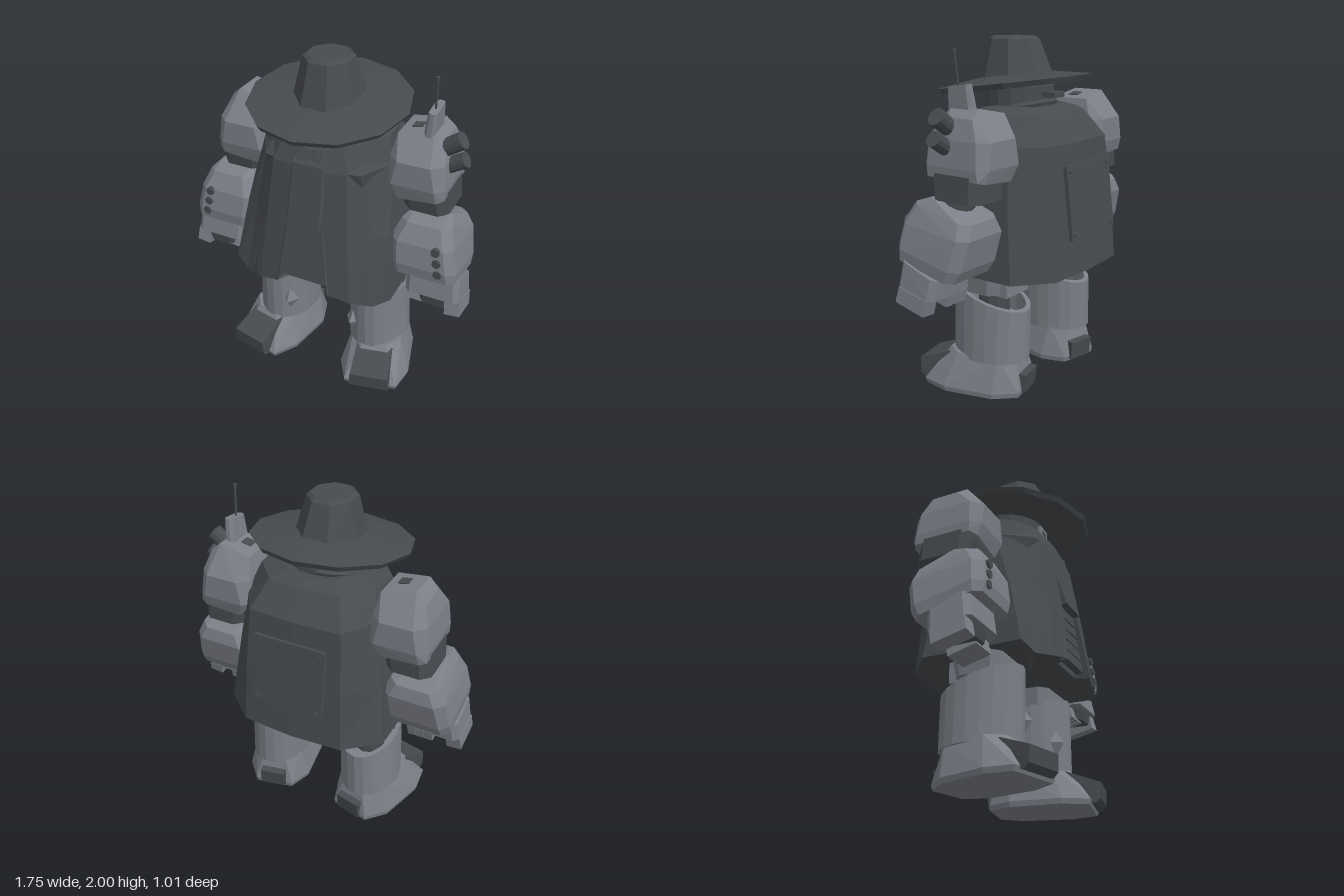
import * as THREE from 'three';
import { ConvexGeometry } from 'three/addons/geometries/ConvexGeometry.js';

const mat = (name, color) => {
  const m = new THREE.MeshStandardMaterial({ color, flatShading: true });
  m.name = name;
  return m;
};
const V = (x, y, z) => new THREE.Vector3(x, y, z);

// Octagonal ring of points: centre, size, corner cut and a slope along z
function oct(cx, y, cz, w, d, c = 0.05, slope = 0) {
  const a = w / 2, b = d / 2;
  return [[a, b - c], [a - c, b], [c - a, b], [-a, b - c], [-a, c - b], [c - a, -b], [a - c, -b], [a, c - b]]
    .map(([x, z]) => V(cx + x, y + slope * z, cz + z));
}

// Skin over rings of [x, y, z], counter-clockwise from above, capped at both ends
function loft(rings) {
  const pos = [], n = rings[0].length;
  const tri = (...p) => p.forEach((q) => pos.push(...q));
  const mid = (r) => [0, 1, 2].map((k) => r.reduce((t, p) => t + p[k], 0) / n);
  const first = rings[0], last = rings[rings.length - 1];
  for (let i = 0; i < n; i++) {
    const j = (i + 1) % n;
    for (let k = 0; k + 1 < rings.length; k++) {
      const a = rings[k], b = rings[k + 1];
      tri(a[i], a[j], b[j]);
      tri(a[i], b[j], b[i]);
    }
    tri(mid(first), first[j], first[i]);
    tri(mid(last), last[i], last[j]);
  }
  const g = new THREE.BufferGeometry();
  g.setAttribute('position', new THREE.Float32BufferAttribute(pos, 3));
  g.computeVertexNormals();
  return g;
}

// Round ring, starting at the front
const round = (n, rx, rz, cx, cz, yOf) => Array.from({ length: n }, (_, i) => {
  const t = (i / n) * Math.PI * 2, z = cz + rz * Math.cos(t);
  return [cx + rx * Math.sin(t), yOf(z), z];
});

// Full ring from a half outline of [x, z, y?], first and last on the centre line
function mirrorRing(y, half) {
  const right = half.map(([x, z, yy = y]) => [x, yy, z]);
  return [...right, ...right.slice(1, -1).reverse().map(([x, yy, z]) => [-x, yy, z])];
}

export function createModel() {
  const root = new THREE.Group();
  root.name = 'armouredFigure';
  const coat = mat('charcoal', 0x474b4f), armour = mat('steel grey', 0x7b7f87);

  const add = (name, geo, m, parent = root) => {
    const mesh = new THREE.Mesh(geo, m);
    mesh.name = name;
    parent.add(mesh);
    return mesh;
  };
  const hull = (name, pts, m, s = 1, parent = root) =>
    add(name, new ConvexGeometry(pts.map((p) => V(p.x * s, p.y, p.z))), m, parent);
  const box = (name, w, h, d, x, y, z, m, parent = root) => {
    const b = add(name, new THREE.BoxGeometry(w, h, d), m, parent);
    b.position.set(x, y, z);
    return b;
  };
  const rod = (name, a, b, r, m, sides = 10) => {
    const dir = b.clone().sub(a);
    const c = add(name, new THREE.CylinderGeometry(r, r, dir.length(), sides), m);
    c.position.copy(a).add(b).multiplyScalar(0.5);
    c.quaternion.setFromUnitVectors(V(0, 1, 0), dir.normalize());
    return c;
  };

  // Hat: tilted brim and eight-sided crown
  const tilt = (y) => (z) => y - 0.125 * (z - 0.05);
  add('hatBrim', loft([
    round(12, 0.2, 0.2, 0, 0.05, tilt(1.715)), round(12, 0.44, 0.43, 0, 0.055, tilt(1.715)),
    round(12, 0.46, 0.445, 0, 0.055, tilt(1.745)), round(12, 0.18, 0.2, 0, 0.05, tilt(1.785)),
  ]), coat);
  const crownRing = (rx, rz, cz, yOf) => {
    const k = Math.tan(Math.PI / 8);
    return [[k, 1], [1, k], [1, -k], [k, -1], [-k, -1], [-1, -k], [-1, k], [-k, 1]]
      .map(([x, z]) => [x * rx, yOf(cz + z * rz), cz + z * rz]);
  };
  add('hatCrown', loft([
    crownRing(0.18, 0.205, 0.05, tilt(1.775)), crownRing(0.13, 0.138, 0.058, () => 1.985),
    crownRing(0.11, 0.115, 0.058, () => 2),
  ]), coat);

  // Head, collar and visor
  add('head', loft([round(16, 0.2, 0.2, 0, 0.02, () => 1.5), round(16, 0.2, 0.2, 0, 0.02, () => 1.73)]), coat);
  const collar = add('collar', new THREE.TorusGeometry(0.2, 0.02, 6, 20), coat);
  collar.rotation.x = Math.PI / 2 + 0.2;
  collar.position.set(0, 1.6, 0.02);
  box('visor', 0.1, 0.06, 0.04, 0, 1.635, 0.21, armour);
  box('visorSlit', 0.055, 0.018, 0.006, 0, 1.632, 0.23, coat);
  box('headBackTab', 0.1, 0.03, 0.08, 0, 1.685, -0.215, coat);

  // Long coat with a front opening and a low neckline
  add('coat', loft([
    mirrorRing(0.71, [[0, 0.34], [0.15, 0.34], [0.16, 0.425, 0.7], [0.29, 0.405, 0.67], [0.41, 0.35, 0.65], [0.5, 0.31, 0.7], [0.5, -0.29], [0.31, -0.455], [0, -0.475]]),
    mirrorRing(1.07, [[0, 0.32], [0.1, 0.32], [0.11, 0.375], [0.25, 0.36], [0.36, 0.28], [0.45, 0.22], [0.455, -0.24], [0.295, -0.43], [0, -0.44]]),
    mirrorRing(1.44, [[0, 0.32], [0.04, 0.325], [0.06, 0.33], [0.22, 0.305], [0.32, 0.2], [0.395, 0.1], [0.4, -0.2], [0.275, -0.39], [0, -0.405]]),
    mirrorRing(1.59, [[0, 0.285, 1.54], [0.04, 0.285, 1.54], [0.07, 0.28, 1.545], [0.18, 0.25, 1.57], [0.28, 0.16], [0.36, 0.06], [0.345, -0.13], [0.21, -0.28], [0, -0.295]]),
    mirrorRing(1.625, [[0, 0.23, 1.555], [0.04, 0.23, 1.555], [0.07, 0.22, 1.56], [0.14, 0.18, 1.585], [0.18, 0.13, 1.61], [0.21, 0.04], [0.2, -0.1], [0.14, -0.2], [0, -0.23]]),
  ]), coat);
  hull('chestPanel', [-1, 1].flatMap((s) => [
    V(s * 0.12, 1.52, 0.275), V(s * 0.09, 1.46, 0.325), V(s * 0.1, 1.07, 0.405), V(s * 0.1, 1.07, 0.33), V(s * 0.05, 1.5, 0.2),
  ]), coat);
  for (let i = 0; i < 5; i++) {
    const rib = box('bellyRib' + i, 0.21 + i * 0.018, 0.066, 0.04, 0, 1.035 - i * 0.068, 0.345 + i * 0.006, coat);
    rib.rotation.x = -0.15;
  }

  // Back hatch with corner bolts
  const hatch = new THREE.Group();
  hatch.name = 'backHatch';
  hatch.position.set(0, 1.13, -0.465);
  hatch.rotation.x = 0.115;
  root.add(hatch);
  box('hatchPlate', 0.43, 0.41, 0.022, 0, 0, 0, coat, hatch);
  for (const x of [-0.185, 0.185]) for (const y of [-0.175, 0.175]) {
    const bolt = add('hatchBolt', new THREE.CylinderGeometry(0.013, 0.013, 0.016, 8), coat, hatch);
    bolt.rotation.x = Math.PI / 2;
    bolt.position.set(x, y, -0.013);
  }

  for (const s of [1, -1]) {
    const side = s > 0 ? 'left' : 'right';
    // Coat front edge, pleat and yoke corner
    for (const [x0, x1, w, z0, z1] of [[0.16, 0.07, 0.04, 0.415, 0.325], [0.31, 0.23, 0.035, 0.39, 0.285]]) {
      hull(side + 'CoatPleat', [
        V(x0, 0.7, z0 + 0.015), V(x0 + w, 0.68, z0 - 0.01), V(x0, 0.7, z0 - 0.06),
        V(x1 + 0.02, 1.36, z1 - 0.005), V(x1 + 0.03, 1.36, z1 - 0.03), V((x0 + x1) / 2, 1.04, (z0 + z1) / 2 + 0.015),
      ], coat, s);
    }
    hull(side + 'YokeCorner', [V(0.21, 1.45, 0.305), V(0.38, 1.45, 0.12), V(0.29, 1.44, 0.275), V(0.29, 1.35, 0.25), V(0.26, 1.53, 0.18)], coat, s);

    // Arm: shoulder shell, upper arm, elbow, forearm shell
    hull(side + 'Shoulder', [
      V(0.4, 1.62, 0.05), V(0.4, 1.62, -0.18), V(0.59, 1.66, 0.02), V(0.59, 1.66, -0.17), V(0.65, 1.61, -0.01), V(0.65, 1.61, -0.17),
      ...oct(0.53, 1.5, -0.065, 0.31, 0.43, 0.06), ...oct(0.53, 1.36, -0.065, 0.345, 0.43, 0.05),
      V(0.44, 1.26, 0.12), V(0.44, 1.27, -0.25), V(0.7, 1.3, 0.1), V(0.7, 1.3, -0.24), V(0.66, 1.285, 0.13), V(0.66, 1.29, -0.26),
    ], armour, s);
    box(side + 'ShoulderSlot', 0.06, 0.006, 0.06, s * 0.48, 1.64, -0.05, coat).rotation.z = s * 0.21;
    hull(side + 'UpperArm', [...oct(0.565, 1.33, -0.065, 0.27, 0.34, 0.05), ...oct(0.585, 1.18, -0.075, 0.26, 0.32, 0.05)], coat, s);
    rod(side + 'Elbow', V(s * 0.59, 1.25, -0.05), V(s * 0.61, 1.1, -0.02), 0.09, coat, 12);
    hull(side + 'Forearm', [
      V(0.52, 1.185, 0.03), V(0.73, 1.185, 0.03),
      ...oct(0.62, 1.12, -0.02, 0.29, 0.38, 0.05, 0.2), ...oct(0.62, 1.03, 0, 0.365, 0.45, 0.05, 0.12),
      ...oct(0.64, 0.88, 0.03, 0.385, 0.43, 0.05, 0.2), ...oct(0.65, 0.815, 0.045, 0.36, 0.385, 0.04, 0.22),
    ], armour, s);
    for (let i = 0; i < 3; i++) {
      const x = s * (0.715 + i * 0.012), y = 1.05 - i * 0.067, z = 0.23 + i * 0.005;
      rod(side + 'ForearmStud', V(x, y, z - 0.04), V(x, y, z + 0.012), 0.025, coat);
    }

    // Hand: cuff, palm, curled fingers and outer thumb
    hull(side + 'Cuff', [...oct(0.69, 0.82, 0.06, 0.31, 0.24, 0.03, 0.35), ...oct(0.7, 0.69, 0.08, 0.32, 0.25, 0.03, 0.2)], armour, s);
    hull(side + 'Palm', [...oct(0.71, 0.72, 0.09, 0.2, 0.2, 0.03), ...oct(0.71, 0.64, 0.1, 0.17, 0.16, 0.03)], coat, s);
    for (let i = 0; i < 3; i++) {
      box(side + 'Finger' + i, 0.05, 0.09, 0.17, s * (0.565 + i * 0.053), 0.65, 0.065, armour).rotation.set(-0.25, 0, s * 0.08);
    }
    box(side + 'Thumb', 0.09, 0.09, 0.2, s * 0.825, 0.645, 0.09, armour).rotation.set(-0.22, 0, s * 0.1);

    // Leg: hip joint, thigh block, open-topped shin sleeve, shin stud
    rod(side + 'HipJoint', V(s * 0.3, 0.25, -0.02), V(s * 0.3, 0.75, -0.02), 0.09, coat);
    hull(side + 'Thigh', [...oct(0.3, 0.78, 0, 0.34, 0.32, 0.05), ...oct(0.3, 0.59, 0.01, 0.29, 0.28, 0.05)], armour, s);
    box(side + 'ThighBack', 0.2, 0.12, 0.1, s * 0.29, 0.64, -0.13, armour);
    const rim = (z) => 0.575 + 0.28 * z;
    add(side + 'Shin', loft([
      round(20, 0.178, 0.24, s * 0.318, -0.015, () => 0.2), round(20, 0.17, 0.245, s * 0.308, -0.015, rim),
      round(20, 0.145, 0.215, s * 0.308, -0.015, rim), round(20, 0.145, 0.215, s * 0.308, -0.015, () => 0.42),
    ]), armour);
    hull(side + 'ShinStud', [V(0.22, 0.44, 0.18), V(0.22, 0.28, 0.18), V(0.17, 0.36, 0.17), V(0.265, 0.36, 0.19), V(0.215, 0.36, 0.235)], armour, s);

    // Foot, turned outward
    const foot = new THREE.Group();
    foot.name = side + 'Foot';
    foot.position.set(s * 0.325, 0, -0.01);
    foot.rotation.y = s * 0.22;
    root.add(foot);
    const sole = (y, k) => [[0.16, 0.355], [0.215, 0.2], [0.2, -0.1], [0.12, -0.235]]
      .flatMap(([x, z]) => [V(x * k, y, z * k), V(-x * k, y, z * k)]);
    hull(side + 'Shoe', [...sole(0, 0.97), ...sole(0.03, 1), ...oct(0, 0.225, 0.01, 0.3, 0.42, 0.08)], armour, 1, foot);
    hull(side + 'ToeCap', [-1, 1].flatMap((k) => [
      V(k * 0.115, 0.04, 0.2), V(k * 0.11, 0.205, 0.21), V(k * 0.115, 0.13, 0.41), V(k * 0.12, 0.015, 0.375), V(k * 0.12, 0.04, 0.405),
    ]), coat, 1, foot);
    box(side + 'HeelBlock', 0.16, 0.11, 0.1, 0, 0.075, -0.205, coat, foot).rotation.x = -0.12;
  }

  // Left shoulder: twin barrels, antenna block and antenna
  rod('upperBarrel', V(0.55, 1.49, -0.01), V(0.742, 1.625, -0.01), 0.05, coat, 12);
  rod('lowerBarrel', V(0.58, 1.4, -0.01), V(0.768, 1.515, -0.01), 0.045, coat, 12);
  hull('antennaBlock', [...oct(0.565, 1.6, -0.04, 0.07, 0.18, 0.02), ...oct(0.578, 1.77, -0.03, 0.05, 0.145, 0.015, -0.15)], armour);
  rod('antenna', V(0.575, 1.75, -0.02), V(0.582, 1.94, 0), 0.006, coat, 6);
  rod('antennaTip', V(0.581, 1.93, 0), V(0.582, 1.952, 0), 0.011, coat, 6);
  return root;
}
